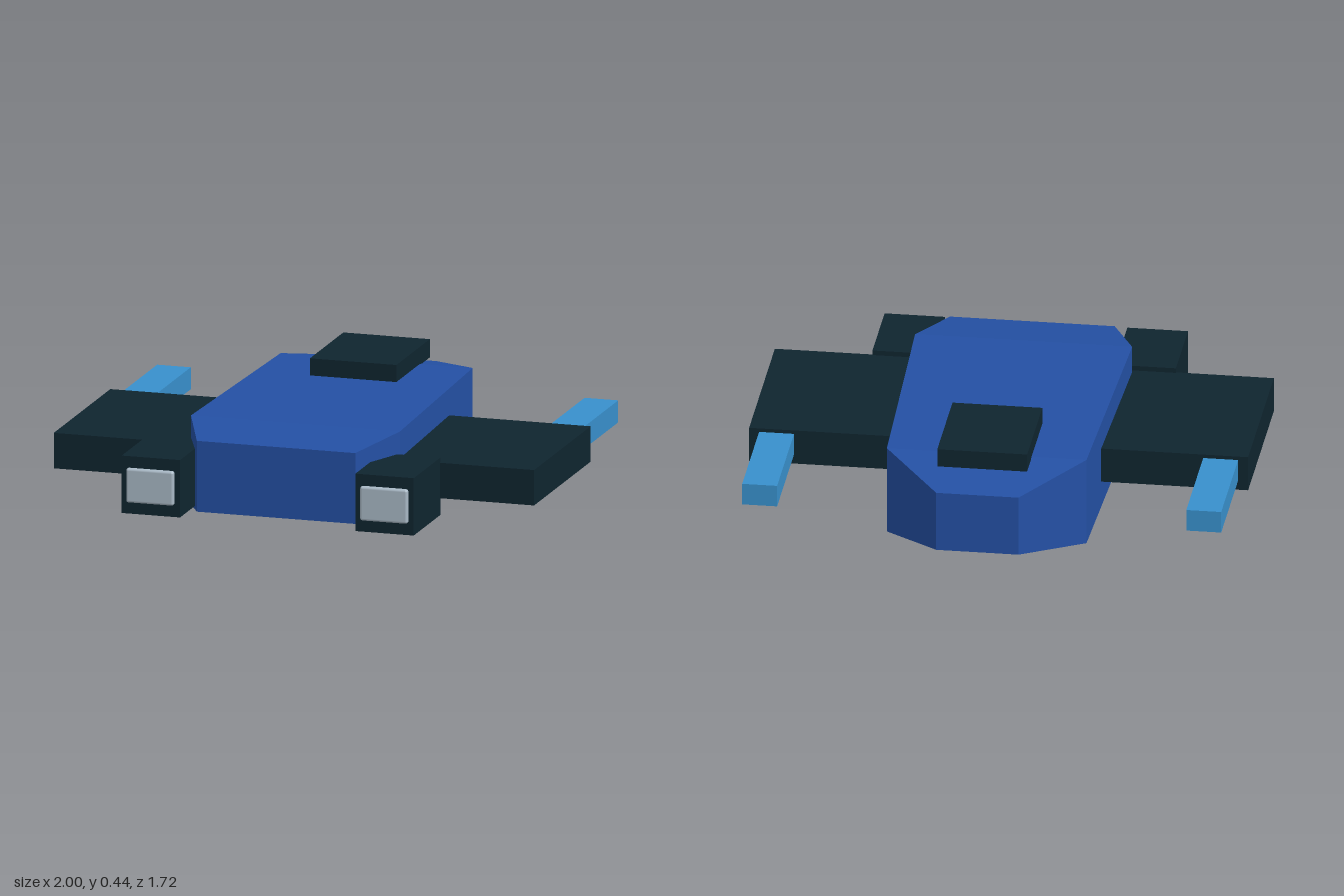
import * as THREE from 'three';
import { RoundedBoxGeometry } from 'three/addons/geometries/RoundedBoxGeometry.js';

function material(name, color) {
  const m = new THREE.MeshStandardMaterial({ color });
  m.name = name;
  return m;
}

// Box-like hull lofted through rectangles [z, halfWidth, bottom, top], ordered back to front
function loftGeometry(sections) {
  const rings = sections.map(([z, w, b, t]) => [[-w, b, z], [w, b, z], [w, t, z], [-w, t, z]]);
  const pos = [];
  const quad = (a, b, c, d) => pos.push(...a, ...b, ...c, ...a, ...c, ...d);
  for (let i = 0; i < rings.length - 1; i++) {
    const r = rings[i], s = rings[i + 1];
    for (let j = 0; j < 4; j++) {
      const k = (j + 1) % 4;
      quad(r[j], r[k], s[k], s[j]);
    }
  }
  const back = rings[0], front = rings[rings.length - 1];
  quad(back[3], back[2], back[1], back[0]);
  quad(front[0], front[1], front[2], front[3]);
  const g = new THREE.BufferGeometry();
  g.setAttribute('position', new THREE.Float32BufferAttribute(pos, 3));
  g.computeVertexNormals();
  return g;
}

export function createModel() {
  const model = new THREE.Group();
  model.name = 'hoverCraft';
  const hullBlue = material('hull blue', 0x2450a4);
  const darkPanel = material('dark panel', 0x0f252f);
  const lightBlue = material('light blue', 0x3890cc);
  const lampGrey = material('lamp grey', 0xaabac7);

  const add = (name, geometry, mat) => {
    const mesh = new THREE.Mesh(geometry, mat);
    mesh.name = name;
    model.add(mesh);
    return mesh;
  };
  // Box given by its ranges on each axis
  const box = (name, mat, [x0, x1], [y0, y1], [z0, z1], radius = 0) => {
    const size = [x1 - x0, y1 - y0, z1 - z0];
    const g = radius ? new RoundedBoxGeometry(...size, 2, radius) : new THREE.BoxGeometry(...size);
    add(name, g, mat).position.set((x0 + x1) / 2, (y0 + y1) / 2, (z0 + z1) / 2);
  };

  // Hull with tapered ends
  add('hull', loftGeometry([
    [-0.86, 0.165, 0.06, 0.31],
    [-0.59, 0.4, 0, 0.365],
    [0.48, 0.435, 0, 0.365],
    [0.735, 0.33, 0.04, 0.33],
  ]), hullBlue);

  // Raised plate on the rear deck
  box('deckPlate', darkPanel, [-0.18, 0.18], [0.36, 0.435], [-0.72, -0.28]);

  // Side wings, rear rods, front pods and lamps
  for (const [side, s] of [['left', 1], ['right', -1]]) {
    const span = (a, b) => (s > 0 ? [a, b] : [-b, -a]);
    box(side + 'Wing', darkPanel, span(0.37, 1), [0.11, 0.255], [-0.245, 0.5]);
    box(side + 'Rod', lightBlue, span(0.82, 0.96), [0.15, 0.24], [-0.735, -0.24]);
    box(side + 'Pod', darkPanel, span(0.365, 0.608), [0.04, 0.275], [0.495, 0.845]);
    box(side + 'Lamp', lampGrey, span(0.388, 0.586), [0.088, 0.228], [0.82, 0.863], 0.01);
  }
  return model;
}
